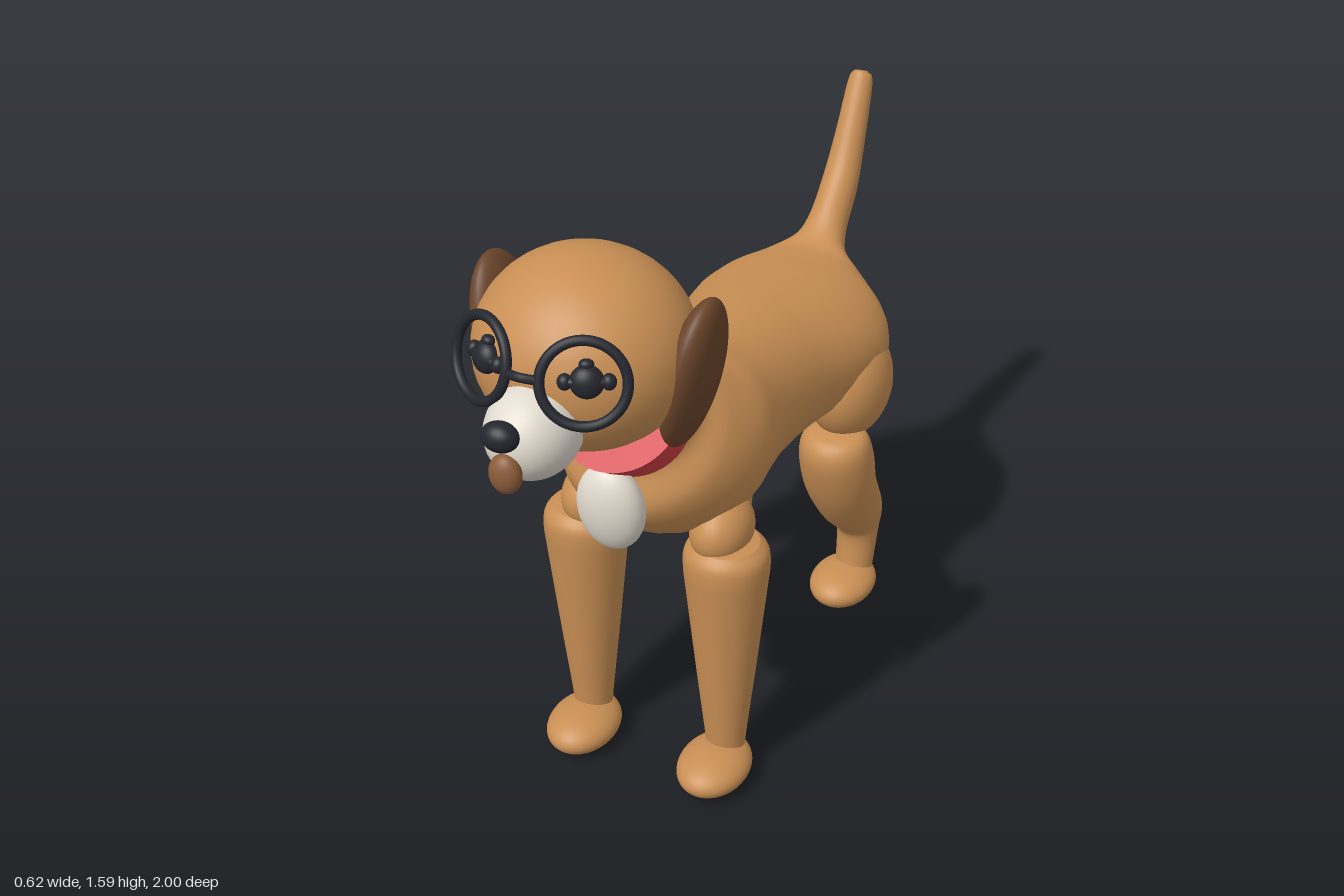
import * as THREE from 'three';

const mat = (name, color, side = THREE.FrontSide) => {
  const m = new THREE.MeshStandardMaterial({ color, side });
  m.name = name;
  return m;
};

// Smooth skin through oval sections [z1, y1, z2, y2, halfWidth], closed at both ends
function loft(sections, steps, sides = 32) {
  const curve = (f) => new THREE.CatmullRomCurve3(sections.map(f), false, 'catmullrom', 0.5);
  const first = curve((s) => new THREE.Vector3(0, s[1], s[0]));
  const second = curve((s) => new THREE.Vector3(0, s[3], s[2]));
  const width = curve((s, i) => new THREE.Vector3(s[4], i, 0));
  const pos = [], idx = [];
  for (let i = 0; i <= steps; i++) {
    const t = i / steps;
    const a = first.getPoint(t), b = second.getPoint(t), w = width.getPoint(t).x;
    const mid = a.clone().add(b).multiplyScalar(0.5);
    const half = a.clone().sub(b).multiplyScalar(0.5);
    for (let j = 0; j < sides; j++) {
      const g = (j / sides) * Math.PI * 2;
      pos.push(w * Math.sin(g), mid.y + half.y * Math.cos(g), mid.z + half.z * Math.cos(g));
    }
  }
  for (let i = 0; i < steps; i++) {
    for (let j = 0; j < sides; j++) {
      const k = (j + 1) % sides;
      const p = i * sides + j, q = i * sides + k;
      idx.push(p, q, p + sides, q, q + sides, p + sides);
    }
  }
  const last = steps * sides;
  for (let j = 1; j < sides - 1; j++) {
    idx.push(0, j + 1, j, last, last + j, last + j + 1);
  }
  const geo = new THREE.BufferGeometry();
  geo.setAttribute('position', new THREE.Float32BufferAttribute(pos, 3));
  geo.setIndex(idx);
  geo.computeVertexNormals();
  return geo;
}

export function createModel() {
  const fur = mat('tan fur', 0xc98f54);
  const brown = mat('dark brown ear', 0x6b452b);
  const cream = mat('cream', 0xe2dbcf);
  const red = mat('red collar', 0xd23f45);
  const black = mat('black', 0x24262e);
  const mouthBrown = mat('mouth brown', 0x8c5c3a);

  const dog = new THREE.Group();
  dog.name = 'dog';

  const add = (name, geo, material, parent = dog) => {
    const m = new THREE.Mesh(geo, material);
    m.name = name;
    parent.add(m);
    return m;
  };
  const ball = (name, material, p, r, parent = dog) => {
    const m = add(name, new THREE.SphereGeometry(1, 36, 24), material, parent);
    m.position.set(...p);
    m.scale.set(...r);
    return m;
  };

  // Neck, torso and tail in one skin
  add('bodyAndTail', loft([
    [0.37, 1.24, 0.55, 1.03, 0.14],
    [0.27, 1.175, 0.49, 0.99, 0.16],
    [0.2, 1.15, 0.505, 0.88, 0.21],
    [0.13, 1.125, 0.43, 0.78, 0.243],
    [0.08, 1.115, 0.29, 0.7, 0.25],
    [0, 1.1, 0.1, 0.675, 0.225],
    [-0.1, 1.09, -0.05, 0.67, 0.215],
    [-0.25, 1.08, -0.23, 0.66, 0.23],
    [-0.4, 1.065, -0.42, 0.65, 0.275],
    [-0.5, 1.055, -0.52, 0.64, 0.285],
    [-0.58, 1.045, -0.59, 0.7, 0.255],
    [-0.64, 1.045, -0.66, 0.82, 0.17],
    [-0.69, 1.07, -0.72, 0.91, 0.085],
    [-0.74, 1.115, -0.785, 0.99, 0.056],
    [-0.82, 1.2, -0.88, 1.1, 0.05],
    [-0.88, 1.3, -0.945, 1.23, 0.042],
    [-0.94, 1.41, -1.0, 1.39, 0.034],
    [-0.955, 1.434, -0.988, 1.424, 0.018],
  ], 102), fur);

  // Collar and chest patch
  const collar = add('collar', new THREE.CylinderGeometry(0.163, 0.15, 0.125, 48), red);
  collar.position.set(0, 1.115, 0.428);
  collar.rotation.x = 0.85;
  const patch = ball('chestPatch', cream, [0, 0.9, 0.52], [0.085, 0.118, 0.058]);
  patch.rotation.x = 0.1;

  // Head
  ball('head', fur, [0, 1.372, 0.607], [0.247, 0.222, 0.242]);
  ball('muzzle', cream, [0, 1.29, 0.835], [0.102, 0.105, 0.118]);
  ball('nose', black, [0, 1.345, 0.966], [0.042, 0.033, 0.032]);
  ball('mouth', mouthBrown, [0, 1.25, 0.955], [0.037, 0.046, 0.028]);

  // Front leg profile, rounded at the top
  const legProfile = [
    [0, 0.06], [0.05, 0.06], [0.053, 0.12], [0.075, 0.33], [0.1, 0.58],
    [0.107, 0.66], [0.102, 0.7], [0.08, 0.725], [0, 0.735],
  ].map(([r, y]) => new THREE.Vector2(r, y));
  const legGeo = new THREE.LatheGeometry(new THREE.SplineCurve(legProfile.slice(1, 8)).getPoints(30)
    .concat(legProfile[8]), 32);

  const backLegGeo = loft([
    [-0.4, 0.665, -0.36, 0.66, 0.03],
    [-0.45, 0.645, -0.3, 0.635, 0.085],
    [-0.485, 0.58, -0.285, 0.57, 0.102],
    [-0.515, 0.49, -0.33, 0.44, 0.1],
    [-0.575, 0.41, -0.41, 0.32, 0.088],
    [-0.64, 0.31, -0.495, 0.24, 0.073],
    [-0.65, 0.22, -0.52, 0.19, 0.06],
    [-0.62, 0.07, -0.51, 0.07, 0.053],
  ], 42);

  for (const s of [1, -1]) {
    const side = s > 0 ? 'left' : 'right';

    const ear = ball(side + 'Ear', brown, [s * 0.228, 1.33, 0.552], [0.052, 0.187, 0.113]);
    ear.rotation.z = -s * 0.2;

    // Legs, joints and paws
    add(side + 'FrontLeg', legGeo, fur).position.set(s * 0.193, 0, 0.303);
    ball(side + 'Shoulder', fur, [s * 0.175, 0.75, 0.29], [0.075, 0.085, 0.1]);
    ball(side + 'FrontPaw', fur, [s * 0.19, 0.057, 0.363], [0.092, 0.055, 0.12]);
    add(side + 'BackLeg', backLegGeo, fur).position.x = s * 0.2;
    ball(side + 'Hip', fur, [s * 0.2, 0.76, -0.465], [0.111, 0.158, 0.15]);
    ball(side + 'BackPaw', fur, [s * 0.19, 0.057, -0.51], [0.092, 0.055, 0.12]);

    // Eye with side points, turned outward along the head
    const eye = new THREE.Group();
    eye.name = side + 'Eye';
    eye.position.set(s * 0.118, 1.422, 0.815);
    eye.rotation.set(-0.22, s * 0.45, 0, 'YXZ');
    dog.add(eye);
    ball('pupil', black, [0, 0, 0], [0.036, 0.036, 0.026], eye);
    ball('eyeLine', black, [0, 0, 0], [0.06, 0.014, 0.018], eye);
    for (const e of [1, -1]) ball('eyeCorner', black, [e * 0.045, 0, 0], [0.016, 0.018, 0.016], eye);
    ball('upperLid', black, [0, 0.037, 0], [0.016, 0.012, 0.014], eye);

    // Glasses rim
    const rim = add(side + 'GlassesRim', new THREE.TorusGeometry(0.09, 0.0115, 14, 48), black);
    rim.position.set(s * 0.12, 1.427, 0.832);
    rim.rotation.set(-0.27, s * 0.45, 0, 'YXZ');
  }

  // Glasses bridge
  const bridge = new THREE.CatmullRomCurve3([
    new THREE.Vector3(-0.04, 1.432, 0.868),
    new THREE.Vector3(0, 1.438, 0.882),
    new THREE.Vector3(0.04, 1.432, 0.868),
  ]);
  add('glassesBridge', new THREE.TubeGeometry(bridge, 16, 0.01, 10), black);

  return dog;
}
